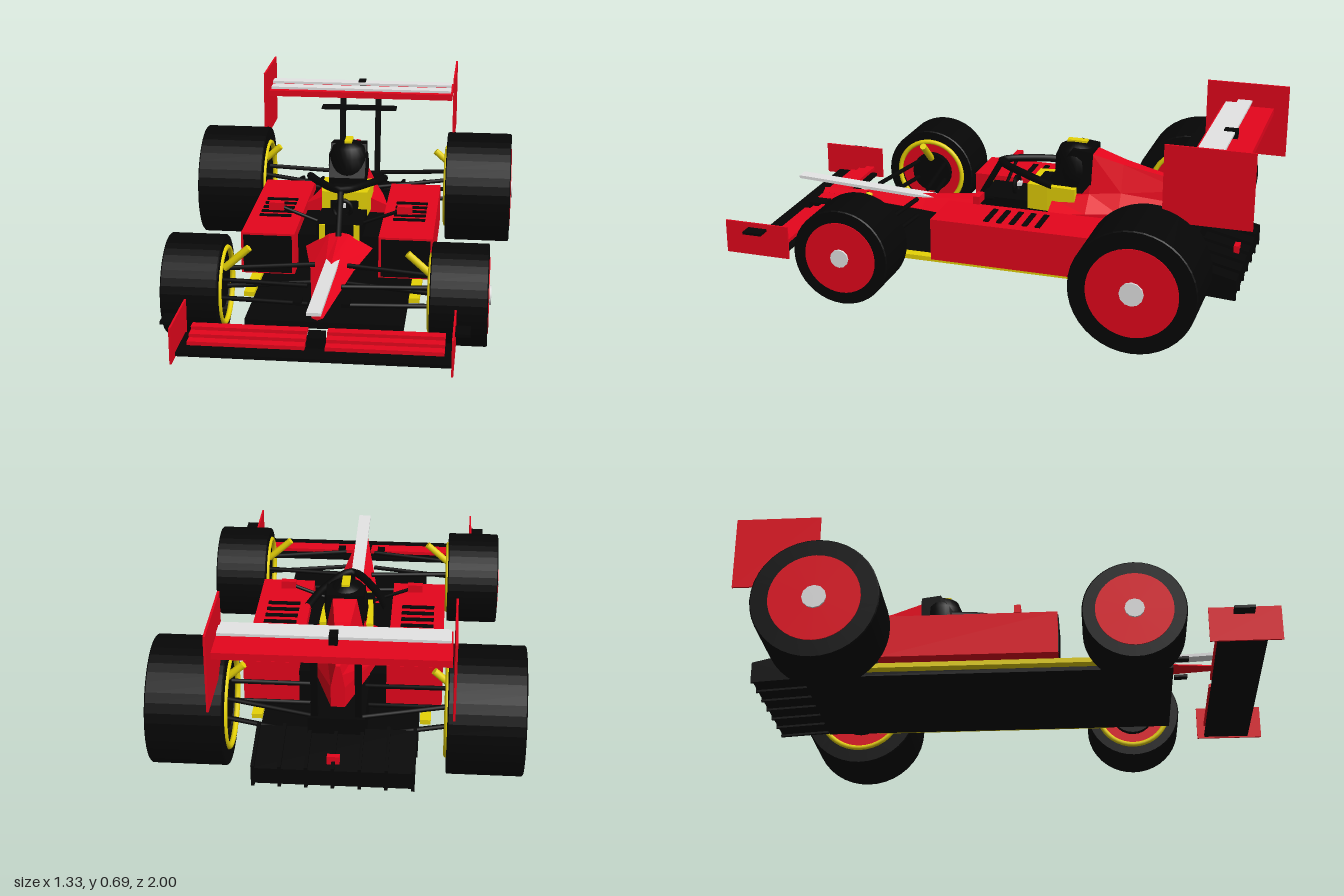
import * as THREE from 'three';

const mat = (name, color) => {
  const m = new THREE.MeshStandardMaterial({ color });
  m.name = name;
  return m;
};

export function createModel() {
  const red = mat('red paint', 0xe6051c);
  const black = mat('black', 0x060606);
  const yellow = mat('yellow', 0xe8d406);
  const silver = mat('silver', 0xe4e4e4);
  const car = new THREE.Group();
  car.name = 'openWheelRaceCar';

  const add = (name, geo, m, parent = car) => {
    const mesh = new THREE.Mesh(geo, m);
    mesh.name = name;
    parent.add(mesh);
    return mesh;
  };
  // Box given by its minimum and maximum on each axis
  const box = (name, m, x0, x1, y0, y1, z0, z1) => {
    const b = add(name, new THREE.BoxGeometry(Math.abs(x1 - x0), y1 - y0, z1 - z0), m);
    b.position.set((x0 + x1) / 2, (y0 + y1) / 2, (z0 + z1) / 2);
    return b;
  };
  // Straight rod between two points
  const rod = (name, m, p, q, r = 0.009) => {
    const a = new THREE.Vector3(...p), b = new THREE.Vector3(...q), d = b.clone().sub(a);
    const mesh = add(name, new THREE.CylinderGeometry(r, r, d.length(), 8), m);
    mesh.position.copy(a).add(b).multiplyScalar(0.5);
    mesh.quaternion.setFromUnitVectors(new THREE.Vector3(0, 1, 0), d.normalize());
    return mesh;
  };
  // Flat-shaded hull through rings listed from back to front, each counterclockwise from the front
  const loft = (name, m, rings) => {
    const n = rings[0].length, pos = rings.flat(2), idx = [];
    for (let i = 0; i < rings.length - 1; i++)
      for (let j = 0; j < n; j++) {
        const a = i * n + j, b = i * n + (j + 1) % n;
        idx.push(a, b, b + n, a, b + n, a + n);
      }
    const f = (rings.length - 1) * n;
    for (let j = 1; j < n - 1; j++) idx.push(f, f + j, f + j + 1, 0, j + 1, j);
    const g = new THREE.BufferGeometry();
    g.setAttribute('position', new THREE.Float32BufferAttribute(pos, 3));
    g.setIndex(idx);
    const flat = g.toNonIndexed();
    flat.computeVertexNormals();
    return add(name, flat, m);
  };
  // Hull of rectangular sections: [z, half width, bottom, top, centre x]
  const slab = (name, m, sections) => loft(name, m, sections.map(([z, w, lo, hi, x = 0]) =>
    [[x - w, lo, z], [x + w, lo, z], [x + w, hi, z], [x - w, hi, z]]));

  // Wheels: tyre, painted cover, hub and a yellow ring on the inner side
  const wheel = (name, s, x0, x1, z, r, rimR) => {
    const g = new THREE.Group(), h = (x1 - x0) / 2;
    g.name = name;
    g.position.set(s * (x0 + x1) / 2, r + 0.003, z);
    g.rotation.z = -s * Math.PI / 2;
    const profile = [[rimR, -h], [r - 0.004, -h], [r, -h + 0.004], [r, h - 0.004], [r - 0.004, h], [rimR, h], [rimR, -h]]
      .map(p => new THREE.Vector2(...p));
    const geo = new THREE.LatheGeometry(profile, 40).toNonIndexed();
    geo.computeVertexNormals();
    add('tyre', geo, black, g);
    add('wheelCover', new THREE.CylinderGeometry(rimR, rimR, 0.02, 40), red, g).position.y = h - 0.007;
    add('innerRim', new THREE.CylinderGeometry(rimR, rimR, 0.02, 40), red, g).position.y = -h + 0.04;
    add('brakeDrum', new THREE.CylinderGeometry(rimR * 0.6, rimR * 0.6, 0.05, 24), black, g).position.y = -h + 0.03;
    add('hubCap', new THREE.CylinderGeometry(r * 0.19, r * 0.19, 0.02, 12), silver, g).position.y = h;
    const ring = add('rimRing', new THREE.TorusGeometry(rimR, 0.01, 8, 40), yellow, g);
    ring.rotation.x = Math.PI / 2;
    ring.position.y = -h;
    car.add(g);
  };
  for (const s of [1, -1]) {
    wheel('rearWheel', s, 0.385, 0.655, -0.635, 0.23, 0.165);
    wheel('frontWheel', s, 0.375, 0.58, 0.48, 0.185, 0.138);
  }

  // Floor, central tub and gearbox
  box('floor', black, -0.285, 0.285, 0.09, 0.115, -0.74, 0.62);
  box('tub', black, -0.16, 0.16, 0.11, 0.255, -0.45, 0.1);
  box('gearbox', black, -0.1, 0.1, 0.11, 0.25, -0.76, -0.45);
  slab('cockpitRim', black, [[-0.25, 0.09, 0.25, 0.3], [0.1, 0.09, 0.25, 0.3]]);

  // Nose: diamond sections narrowing to the tip, with a long strip on top
  loft('nose', red, [[0.1, 0.13, 0.155, 0.27], [0.35, 0.08, 0.17, 0.246], [0.8, 0.02, 0.2, 0.222]].map(([z, w, lo, hi]) =>
    [[0, lo, z], [w, 0.208, z], [w * 0.3, hi - 0.008, z], [0, hi, z], [-w * 0.3, hi - 0.008, z], [-w, 0.208, z]]));
  slab('noseStrip', silver, [[0.31, 0.025, 0.229, 0.241], [0.9, 0.025, 0.258, 0.27]]);
  box('noseMount', black, -0.03, 0.03, 0.115, 0.16, 0.79, 0.86);

  // Engine cover: flared base and a narrow spine that tapers to the tail
  loft('engineCover', red, [
    [-0.68, 0.025, 0.2, 0.33, 0.016, 0.38, 0.008, 0.415],
    [-0.45, 0.1, 0.22, 0.29, 0.06, 0.36, 0.03, 0.465],
    [-0.33, 0.135, 0.24, 0.288, 0.075, 0.35, 0.045, 0.5],
    [-0.19, 0.165, 0.25, 0.285, 0.09, 0.318, 0.05, 0.325],
  ].map(([z, w, lo, sh, m, mh, t, hi]) => [[-w, lo, z], [w, lo, z], [w, sh, z], [m, mh, z],
    [t, hi, z], [-t, hi, z], [-m, mh, z], [-w, sh, z]]));

  // Driver: headrest, shoulders, helmet with stripe, steering wheel
  slab('headrest', black, [[-0.335, 0.068, 0.345, 0.512], [-0.26, 0.072, 0.345, 0.52], [-0.175, 0.072, 0.345, 0.4]]);
  slab('driverShoulders', yellow, [[-0.28, 0.1, 0.27, 0.368], [-0.17, 0.097, 0.27, 0.37], [-0.09, 0.09, 0.27, 0.37]]);
  box('driverChest', black, -0.055, 0.055, 0.27, 0.335, -0.1, -0.084);
  box('driverCollar', black, -0.05, 0.05, 0.366, 0.376, -0.18, -0.12);
  const helmet = add('helmet', new THREE.LatheGeometry(
    [[0, 0], [0.074, 0], [0.082, 0.06], [0.08, 0.11], [0.064, 0.148], [0.03, 0.165], [0, 0.168]]
      .map(p => new THREE.Vector2(...p)), 24), black);
  helmet.position.set(0, 0.365, -0.26);
  box('helmetStripe', yellow, -0.015, 0.015, 0.53, 0.538, -0.302, -0.225);
  const steering = add('steeringWheel', new THREE.TorusGeometry(0.035, 0.008, 6, 16), black);
  steering.position.set(0, 0.325, -0.02);
  box('steeringHub', silver, -0.012, 0.012, 0.325, 0.34, -0.04, -0.025);

  // Cockpit hoop with a central pillar
  const hoop = new THREE.CatmullRomCurve3([[-0.15, 0.395, -0.21], [-0.1, 0.41, -0.09], [0, 0.42, 0.04],
    [0.1, 0.41, -0.09], [0.15, 0.395, -0.21]].map(p => new THREE.Vector3(...p)));
  add('cockpitHoop', new THREE.TubeGeometry(hoop, 24, 0.015, 8), black);
  rod('hoopPillar', black, [0, 0.42, 0.04], [0, 0.26, 0.13], 0.012);

  // Parts repeated on both sides
  for (const s of [1, -1]) {
    box('sidepod', red, s * 0.16, s * 0.365, 0.13, 0.292, -0.455, 0.205);
    box('sidepodInlet', black, s * 0.17, s * 0.356, 0.135, 0.284, 0.203, 0.208);
    for (let i = 0; i < 5; i++) {
      const z = -0.2 + i * 0.05;
      box('louvre', black, s * 0.2, s * 0.325, 0.29, 0.297, z - 0.01, z + 0.01);
    }
    box('floorEdge', yellow, s * 0.288, s * 0.327, 0.104, 0.122, -0.545, 0.38);
    box('cockpitTrim', yellow, s * 0.055, s * 0.078, 0.16, 0.3, 0.1, 0.108);
    box('mirror', red, s * 0.22, s * 0.277, 0.338, 0.368, 0.04, 0.065);
    rod('mirrorStalk', black, [s * 0.235, 0.35, 0.05], [s * 0.08, 0.29, 0.05], 0.007);
    box('noseTab', black, s * 0.07, s * 0.1, 0.208, 0.218, 0.64, 0.69);

    // Front and rear suspension
    for (const y of [0.16, 0.23]) for (const dz of [-0.08, 0.08])
      rod('frontWishbone', black, [s * 0.4, y, 0.48 + dz * 0.7], [s * 0.06, y + 0.01, 0.48 + dz * 1.3]);
    rod('frontStrut', yellow, [s * 0.287, 0.335, 0.48], [s * 0.38, 0.252, 0.48], 0.014);
    for (const y of [0.2, 0.28]) for (const dz of [-0.08, 0.08])
      rod('rearWishbone', black, [s * 0.42, y, -0.635 + dz * 0.7], [s * 0.09, y - 0.03, -0.635 + dz * 1.3]);
    rod('rearStrut', yellow, [s * 0.335, 0.385, -0.638], [s * 0.4, 0.327, -0.638], 0.014);

    // Front wing flaps and end plates
    for (let i = 0; i < 3; i++)
      box('frontFlap', red, s * 0.035, s * 0.44, 0.122 + i * 0.012, 0.136 + i * 0.012, 0.842 - i * 0.037, 0.878 - i * 0.037);
    box('frontEndPlate', red, s * 0.467, s * 0.474, 0.105, 0.235, 0.742, 1);
    box('endPlateWinglet', black, s * 0.474, s * 0.525, 0.207, 0.217, 0.83, 0.905);

    // Rear wing end plates and pylons
    box('rearEndPlate', red, s * 0.402, s * 0.41, 0.41, 0.695, -1, -0.68);
    loft('rearWingPylon', black, [[-0.79, -0.74], [-0.755, -0.72]].map(([zt, zb]) => {
      const a = Math.min(s * 0.065, s * 0.088), b = a + 0.023;
      return [[a, 0.2, zb], [b, 0.2, zb], [b, 0.585, zt], [a, 0.585, zt]];
    }));
  }

  // Front wing main plane
  box('frontWingPlane', black, -0.47, 0.47, 0.11, 0.122, 0.77, 0.945);

  // Rear wing: red plane with two stepped silver slats
  box('rearWingPlane', red, -0.396, 0.396, 0.58, 0.605, -0.945, -0.745);
  box('rearWingSlat', silver, -0.39, 0.39, 0.609, 0.619, -0.812, -0.757);
  box('rearWingSlat', silver, -0.39, 0.39, 0.622, 0.632, -0.86, -0.805);
  box('rearWingMount', black, -0.015, 0.015, 0.6, 0.638, -0.87, -0.82);
  box('lowerCrossWing', black, -0.16, 0.16, 0.546, 0.554, -0.735, -0.675);

  // Diffuser deck sloping down to the rear with ribs, and the tail light
  slab('diffuser', black, [[-0.93, 0.28, 0.088, 0.148], [-0.73, 0.28, 0.1, 0.195]]);
  for (let i = -3; i <= 3; i++)
    slab('diffuserRib', black, [[-0.935, 0.006, 0.08, 0.16, i * 0.0915], [-0.73, 0.006, 0.092, 0.207, i * 0.0915]]);
  box('tailLight', red, -0.022, 0.022, 0.155, 0.185, -0.9, -0.88);
  return car;
}
